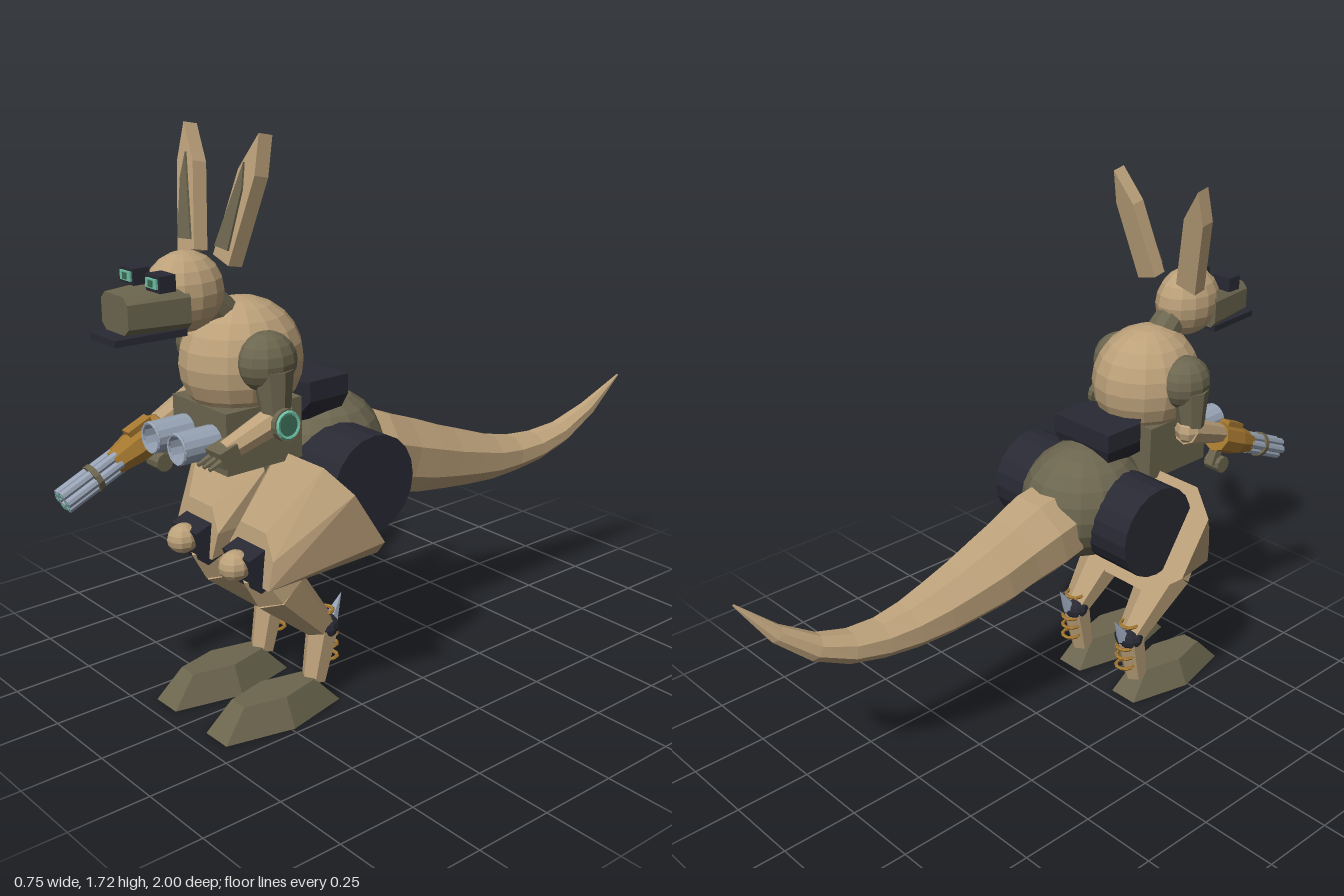
import * as THREE from 'three';
import { ConvexGeometry } from 'three/addons/geometries/ConvexGeometry.js';

const paint = (name, color) => {
  const m = new THREE.MeshStandardMaterial({ color });
  m.name = name;
  return m;
};
const V = (x, y, z) => new THREE.Vector3(x, y, z);

export function createModel() {
  const model = new THREE.Group();
  model.name = 'armouredHopper';
  const tan = paint('tan', 0xbca17a), olive = paint('olive', 0x6c664f), dark = paint('darkNavy', 0x292934);
  const gold = paint('bronze', 0xa4772f), silver = paint('steel', 0x97a3b5);
  const green = paint('lensGreen', 0x6cc0a4), deep = paint('deepGreen', 0x3c6b55);
  silver.side = THREE.DoubleSide;

  // Every part is faceted: split the faces and give each its own normal
  const add = (name, geometry, material, pos = [0, 0, 0], rot = [0, 0, 0], parent = model) => {
    const g = geometry.index ? geometry.toNonIndexed() : geometry;
    g.computeVertexNormals();
    const mesh = new THREE.Mesh(g, material);
    mesh.name = name;
    mesh.position.set(...pos);
    mesh.rotation.set(...rot);
    parent.add(mesh);
    return mesh;
  };
  const ball = (name, mat, pos, r, w = 14, h = 10) =>
    add(name, new THREE.SphereGeometry(1, w, h).scale(...r), mat, pos);
  const box = (name, mat, size, pos, rot, parent) =>
    add(name, new THREE.BoxGeometry(...size), mat, pos, rot, parent);
  const hull = (name, mat, pts, s = 1) =>
    add(name, new ConvexGeometry(pts.map(p => V(p[0] * s, p[1], p[2]))), mat);
  const limb = (name, mat, a, b, ra, rb, sides = 8) => {
    const A = V(...a), B = V(...b), d = B.clone().sub(A);
    const mesh = add(name, new THREE.CylinderGeometry(rb, ra, d.length(), sides), mat);
    mesh.position.copy(A).add(B).multiplyScalar(0.5);
    mesh.quaternion.setFromUnitVectors(V(0, 1, 0), d.normalize());
    return mesh;
  };
  // Rectangle corners at depth z, for hulls
  const rect = (w, y0, y1, z) => [[-w, y0, z], [w, y0, z], [w, y1, z], [-w, y1, z]];

  // Torso
  ball('chest', tan, [0, 1.075, 0.48], [0.165, 0.18, 0.185], 16, 12);
  box('abdomen', olive, [0.26, 0.18, 0.26], [0, 0.88, 0.5]);
  ball('pelvis', olive, [0, 0.745, 0.205], [0.19, 0.19, 0.205], 16, 12);
  hull('backPack', dark, [...rect(0.12, 0.94, 1, 0.19), ...rect(0.12, 0.94, 1, 0.33),
    ...rect(0.085, 0.88, 1, 0.37), ...rect(0.1, 0.88, 0.9, 0.21)]);
  add('hipDrum', new THREE.CylinderGeometry(0.148, 0.148, 0.59, 20), dark, [0, 0.717, 0.24], [0, 0, Math.PI / 2]);
  limb('neck', olive, [0, 1.19, 0.52], [0, 1.27, 0.6], 0.055, 0.05, 10);

  // Twin chest tubes, open at the front
  for (const s of [-1, 1]) {
    add('chestTube', new THREE.CylinderGeometry(0.046, 0.046, 0.12, 14, 1, true), silver,
      [s * 0.065, 0.88, 0.69], [Math.PI / 2, 0, 0]);
    add('tubeRim', new THREE.TorusGeometry(0.042, 0.005, 5, 14), silver, [s * 0.065, 0.88, 0.748]);
  }

  // Head
  ball('head', tan, [0, 1.295, 0.662], [0.09, 0.112, 0.118]);
  hull('snout', olive, [...rect(0.088, 1.23, 1.3, 0.7), ...rect(0.07, 1.21, 1.325, 0.7),
    ...rect(0.065, 1.235, 1.3, 0.88), ...rect(0.045, 1.217, 1.32, 0.88)]);
  hull('jaw', dark, [...rect(0.08, 1.195, 1.215, 0.71), ...rect(0.062, 1.195, 1.213, 0.92)]);
  for (const s of [-1, 1]) {
    box('eyeHousing', dark, [0.066, 0.045, 0.05], [s * 0.063, 1.347, 0.775]);
    box('eyeLens', green, [0.05, 0.026, 0.008], [s * 0.063, 1.348, 0.802]);
    box('eyePupil', deep, [0.018, 0.018, 0.004], [s * 0.063, 1.348, 0.807]);

    // Ears: tilted slabs with a thin inner panel
    const slab = (pts, depth) => new THREE.ExtrudeGeometry(
      new THREE.Shape(pts.map(p => new THREE.Vector2(p[0] * s, p[1]))), { depth, bevelEnabled: false });
    const ear = new THREE.Group();
    ear.name = s > 0 ? 'leftEar' : 'rightEar';
    ear.position.set(0, 1.37, 0.555);
    ear.rotation.x = -0.2;
    model.add(ear);
    add('earShell', slab([[0.045, 0.015], [0.12, -0.005], [0.18, 0.24], [0.173, 0.35], [0.105, 0.25]], 0.045), tan, [0, 0, 0], [0, 0, 0], ear);
    add('earPanel', slab([[0.057, 0.04], [0.118, 0.035], [0.143, 0.2], [0.135, 0.27]], 0.006), olive, [0, 0, 0.048], [0, 0, 0], ear);
  }

  for (const s of [-1, 1]) {
    // Arms
    ball('shoulder', olive, [s * 0.145, 1.1, 0.5], [0.077, 0.085, 0.09], 12, 10);
    limb('upperArm', olive, [s * 0.17, 1.08, 0.5], [s * 0.18, 0.96, 0.5], 0.06, 0.042);
    ball('elbow', tan, [s * 0.18, 0.95, 0.49], [0.042, 0.045, 0.045], 8, 6);
    limb('forearm', tan, [s * 0.18, 0.95, 0.48], [s * 0.165, 0.88, 0.66], 0.045, 0.032);

    // Thigh: octagonal block narrowing to the knee, with a flat slanted rear
    const rear = [[0.09, 0.81, 0.42], [0.29, 0.81, 0.42], [0.375, 0.745, 0.38], [0.375, 0.575, 0.27],
      [0.285, 0.5, 0.22], [0.09, 0.5, 0.22], [0, 0.575, 0.27], [0, 0.745, 0.38]];
    const knee = [[0.05, 0.465, 0.57], [0.225, 0.46, 0.57], [0.235, 0.55, 0.56], [0.19, 0.62, 0.55],
      [0.07, 0.62, 0.55], [0.03, 0.55, 0.56]];
    hull('thigh', tan, [...rear, ...knee], s);

    // Knee cap
    box('kneePlate', dark, [0.13, 0.115, 0.07], [s * 0.13, 0.51, 0.56], [0.35, 0, 0]);
    ball('kneeCap', tan, [s * 0.13, 0.522, 0.615], [0.045, 0.045, 0.05], 10, 8);

    // Lower leg
    const x = s * 0.13;
    limb('calfTop', tan, [x, 0.5, 0.53], [x, 0.42, 0.47], 0.07, 0.085, 6);
    limb('calf', tan, [x, 0.42, 0.47], [x, 0.235, 0.305], 0.085, 0.045, 6);
    ball('hock', dark, [x, 0.235, 0.3], [0.052, 0.042, 0.045], 10, 8);
    limb('shin', tan, [x, 0.23, 0.305], [x, 0.07, 0.34], 0.05, 0.038, 6);
    limb('heelSpike', silver, [x, 0.24, 0.275], [x, 0.32, 0.23], 0.025, 0.001, 6);
    for (const y of [0.13, 0.17, 0.205, 0.285])
      add('springCoil', new THREE.TorusGeometry(0.03, 0.006, 5, 10), gold,
        [x, y, y > 0.25 ? 0.3 : 0.285], [Math.PI / 2, 0, 0]);

    // Foot: tapered hexagon with a flat toe
    const foot = new THREE.CylinderGeometry(0.62, 1, 0.088, 6).rotateY(Math.PI / 6).scale(0.1, 1, 0.242);
    add('foot', foot, olive, [x, 0.044, 0.49]);
  }

  // Left hand with claws
  box('leftPalm', olive, [0.07, 0.05, 0.06], [0.165, 0.875, 0.665], [0.3, 0, 0]);
  for (let i = 0; i < 3; i++)
    limb('leftClaw', olive, [0.14 + i * 0.025, 0.87, 0.68], [0.135 + i * 0.027, 0.85, 0.73], 0.012, 0.006, 6);

  // Wrist dial on the left arm
  limb('dialMount', olive, [0.18, 0.94, 0.51], [0.235, 0.943, 0.51], 0.016, 0.016);
  const dial = new THREE.Group();
  dial.name = 'wristDial';
  dial.position.set(0.24, 0.943, 0.51);
  dial.rotation.z = 0.1;
  model.add(dial);
  const sideways = [0, 0, Math.PI / 2];
  add('dialBody', new THREE.CylinderGeometry(0.045, 0.045, 0.018, 16), olive, [0, 0, 0], sideways, dial);
  add('dialFace', new THREE.CylinderGeometry(0.032, 0.032, 0.004, 16), deep, [0.01, 0, 0], sideways, dial);
  add('dialRing', new THREE.TorusGeometry(0.035, 0.006, 5, 16), green, [0.01, 0, 0], [0, Math.PI / 2, 0], dial);

  // Rotary blaster on the right arm, pointing forward and down
  const gun = new THREE.Group();
  gun.name = 'blaster';
  gun.position.set(-0.157, 0.87, 0.65);
  gun.rotation.x = 0.415;
  model.add(gun);
  const tube = (name, mat, r0, r1, z0, z1, px = 0, py = 0, sides = 8) =>
    add(name, new THREE.CylinderGeometry(r1, r0, z1 - z0, sides), mat, [px, py, (z0 + z1) / 2], [Math.PI / 2, 0, 0], gun);
  tube('gunBody', gold, 0.05, 0.05, 0.01, 0.11);
  tube('gunCollar', gold, 0.05, 0.036, 0.11, 0.185);
  box('gunSight', gold, [0.035, 0.02, 0.08], [0, 0.05, 0.07], [0, 0, 0], gun);
  box('gunGrip', olive, [0.03, 0.07, 0.03], [0, -0.06, 0.03], [0, 0, 0], gun);
  add('gunDrum', new THREE.CylinderGeometry(0.028, 0.028, 0.06, 10), olive, [0, -0.085, 0.055], [0, 0, Math.PI / 2], gun);
  tube('barrelBand', olive, 0.042, 0.042, 0.245, 0.262, 0, 0, 12);
  for (let i = 0; i < 6; i++) {
    const a = i * Math.PI / 3, px = 0.025 * Math.cos(a), py = 0.025 * Math.sin(a);
    tube('barrel', silver, 0.014, 0.014, 0.17, 0.364, px, py);
    tube('barrelGlow', green, 0.007, 0.007, 0.363, 0.366, px, py);
  }

  // Tail: octagonal rings [x, y, z, radius] along a curved spine
  const spine = [[0, 0.7, 0.075, 0.135], [0, 0.685, 0, 0.138], [0, 0.655, -0.1, 0.125], [0, 0.625, -0.2, 0.118],
    [0.005, 0.598, -0.3, 0.104], [0.01, 0.575, -0.4, 0.092], [0.02, 0.555, -0.5, 0.077], [0.03, 0.548, -0.6, 0.063],
    [0.045, 0.556, -0.7, 0.053], [0.068, 0.588, -0.8, 0.042], [0.102, 0.66, -0.9, 0.028], [0.15, 0.773, -0.998, 0.003]];
  const n = 8, pos = [], index = [];
  spine.forEach(([x, y, z, r], i) => {
    const a = spine[Math.max(i - 1, 0)], b = spine[Math.min(i + 1, spine.length - 1)];
    const up = V(0, a[2] - b[2], b[1] - a[1]).normalize();
    for (let j = 0; j < n; j++) {
      const t = (j + 0.5) / n * Math.PI * 2, k = r * Math.sin(t);
      pos.push(x + r * Math.cos(t), y + k * up.y, z + k * up.z);
      const p = i * n + j, q = i * n + (j + 1) % n;
      if (i < spine.length - 1) index.push(p, p + n, q, q, p + n, q + n);
    }
  });
  for (let j = 1; j < n - 1; j++) index.push(0, j, j + 1);
  const tail = new THREE.BufferGeometry();
  tail.setAttribute('position', new THREE.Float32BufferAttribute(pos, 3));
  tail.setIndex(index);
  add('tail', tail, tan);

  return model;
}
